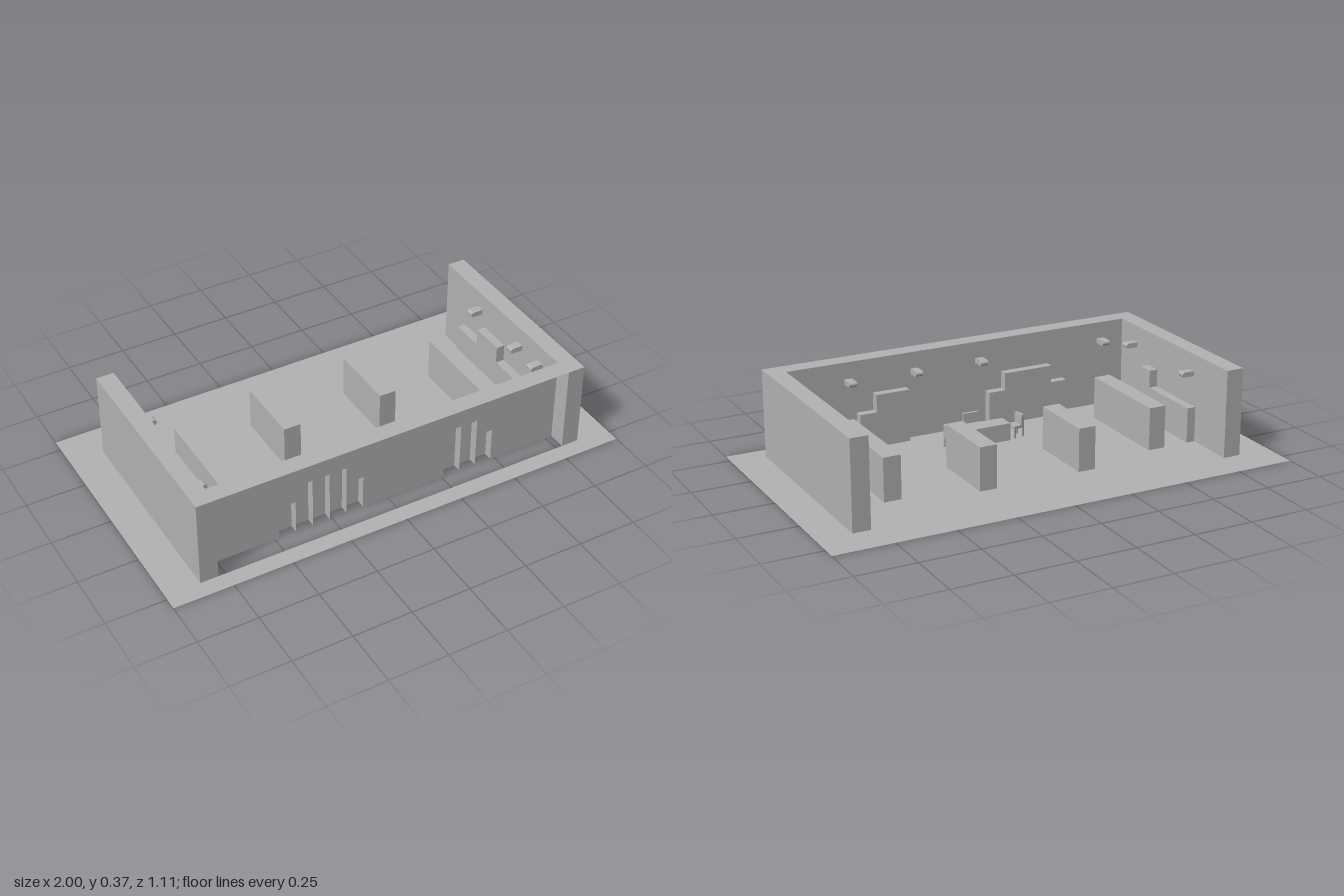
import * as THREE from 'three';

const U = 0.0742;            // grid cell
const H = 0.372;             // wall height
const T = 0.075;             // wall thickness
const LOW = 0.15, TALL = 0.225, ISLAND = 0.183, SHELF_DEPTH = 0.037;
const FACES = ['px', 'nx', 'py', 'ny', 'pz', 'nz'];

export function createModel() {
  const grey = new THREE.MeshStandardMaterial({ color: 0xb2b2b2, side: THREE.DoubleSide });
  grey.name = 'plaster grey';
  const model = new THREE.Group();
  model.name = 'storeInterior';

  const add = (parent, name, geometry, x = 0, y = 0, z = 0) => {
    const mesh = new THREE.Mesh(geometry, grey);
    mesh.name = name;
    mesh.position.set(x, y, z);
    parent.add(mesh);
    return mesh;
  };
  const group = (parent, name, x, y, z, turn = 0) => {
    const g = new THREE.Group();
    g.name = name;
    g.position.set(x, y, z);
    g.rotation.y = turn;
    parent.add(g);
    return g;
  };
  // box that keeps only the listed faces
  const openBox = (w, h, d, keep) => {
    const g = new THREE.BoxGeometry(w, h, d);
    const all = Array.from(g.index.array);
    g.setIndex(FACES.flatMap((f, i) => (keep.includes(f) ? all.slice(i * 6, i * 6 + 6) : [])));
    g.clearGroups();
    return g;
  };

  // row of hollow cells, back at z = 0, with a divider between cells
  const cellRow = (parent, name, heights, depth, faces) => {
    const n = heights.length;
    heights.forEach((h, i) =>
      add(parent, name + 'Cell', openBox(U, h, depth, faces), (i + 0.5 - n / 2) * U, h / 2, depth / 2));
    for (let i = 0; i <= n; i++) {
      const h = Math.max(heights[i - 1] || 0, heights[i] || 0);
      add(parent, name + 'Divider', new THREE.PlaneGeometry(depth, h), (i - n / 2) * U, h / 2, depth / 2)
        .rotation.y = Math.PI / 2;
    }
  };

  // wall lamp: short block with a rounded nose
  const nose = new THREE.Shape();
  nose.moveTo(0, -0.011);
  nose.lineTo(0.044, -0.011);
  nose.absarc(0.044, 0, 0.011, -Math.PI / 2, Math.PI / 2);
  nose.lineTo(0, 0.011);
  const lampGeometry = new THREE.ExtrudeGeometry(nose, { depth: 0.034, bevelEnabled: false, curveSegments: 5 });
  lampGeometry.translate(0, 0, -0.017).rotateY(-Math.PI / 2);

  // wall facing local +z, open behind each stepped shelf
  const wall = (name, frame, a, b, faces, shelves, lamps) => {
    const g = group(model, name, ...frame);
    const outline = new THREE.Shape();
    outline.moveTo(a, H);
    outline.lineTo(a, 0);
    for (const { at, heights } of shelves) {
      const x0 = at - heights.length * U / 2;
      outline.lineTo(x0, 0);
      heights.forEach((h, i) => {
        outline.lineTo(x0 + i * U, h);
        outline.lineTo(x0 + (i + 1) * U, h);
      });
      outline.lineTo(x0 + heights.length * U, 0);
      cellRow(group(g, 'wallShelf', at, 0, 0), 'shelf', heights, SHELF_DEPTH, ['py', 'pz']);
    }
    outline.lineTo(b, 0);
    outline.lineTo(b, H);
    add(g, name + 'Inside', new THREE.ShapeGeometry(outline));
    add(g, name + 'Shell', openBox(b - a, H, T, faces), (a + b) / 2, H / 2, -T / 2);
    for (const x of lamps) add(g, 'wallLamp', lampGeometry, x, 0.29, 0);
  };

  wall('frontWall', [0, 0, 0.405, Math.PI], -0.78, 0.78, ['py'],
    [{ at: -0.37, heights: [LOW, TALL, TALL] },
      { at: 0.297, heights: [LOW, TALL, TALL, TALL, LOW] }],
    [-0.515, -0.22, 0.08, 0.67]);
  wall('rightWall', [-0.78, 0, 0, Math.PI / 2], -0.48, 0.405, ['py', 'px', 'nx', 'nz'],
    [{ at: 0, heights: [TALL, LOW, LOW, LOW, LOW] }], [-0.29, 0.15]);
  wall('leftWall', [0.78, 0, 0, -Math.PI / 2], -0.405, 0.48, ['py', 'px', 'nx', 'nz'],
    [{ at: -0.037, heights: [LOW, LOW, TALL, TALL, LOW, LOW] }], [-0.15, 0.145, 0.29]);

  // free-standing shelf islands
  const islands = [];
  for (const s of [-1, 1]) {
    for (const [x, z, n] of [[0.594, 0.033, 6], [0.22, -0.115, 4]]) {
      const g = group(model, 'shelfIsland', s * x - U / 2, 0, z, Math.PI / 2);
      cellRow(g, 'island', Array(n).fill(ISLAND), U, ['py', 'pz', 'nz']);
      islands.push([s * x, z, U, n * U]);
    }
  }

  // service counter
  add(model, 'counter', openBox(3 * U, 0.075, U, ['px', 'nx', 'py', 'pz', 'nz']), 0, 0.0375, 0.218);
  islands.push([0, 0.218, 3 * U, U]);

  // chairs: one behind the counter, one turned at each end
  const chair = (x, z, turn, size) => {
    const g = group(model, 'chair', x, 0, z, turn);
    add(g, 'chairSeat', new THREE.BoxGeometry(size, 0.012, size), 0, 0.046, 0);
    add(g, 'chairBack', new THREE.BoxGeometry(size, 0.05, 0.012), 0, 0.072, size / 2 - 0.006);
    for (const sx of [-1, 1]) for (const sz of [-1, 1])
      add(g, 'chairLeg', new THREE.BoxGeometry(0.008, 0.04, 0.008), sx * (size / 2 - 0.004), 0.02, sz * (size / 2 - 0.004));
  };
  chair(0, 0.293, 0, 0.073);
  chair(-0.155, 0.217, -1.4, 0.05);
  chair(0.145, 0.217, 1.4, 0.05);

  // floor sheet, cut away under walls, shelves and islands
  const floor = new THREE.Shape();
  const path = (target, points) => target.setFromPoints(points.map(([x, z]) => new THREE.Vector2(x, z)));
  path(floor, [[-1, -0.555], [1, -0.555], [1, 0.552], [-1, 0.552]]);
  floor.holes.push(path(new THREE.Path(), [
    [-0.855, -0.405], [-0.855, 0.48], [0.855, 0.48], [0.855, -0.405], [0.78, -0.405],
    [0.78, -0.26], [0.743, -0.26], [0.743, 0.186], [0.78, 0.186], [0.78, 0.405],
    [0.481, 0.405], [0.481, 0.368], [0.259, 0.368], [0.259, 0.405],
    [-0.111, 0.405], [-0.111, 0.368], [-0.482, 0.368], [-0.482, 0.405], [-0.78, 0.405],
    [-0.78, 0.186], [-0.743, 0.186], [-0.743, -0.186], [-0.78, -0.186], [-0.78, -0.405]]));
  for (const [x, z, w, d] of islands) {
    floor.holes.push(path(new THREE.Path(), [
      [x - w / 2, z - d / 2], [x - w / 2, z + d / 2], [x + w / 2, z + d / 2], [x + w / 2, z - d / 2]]));
  }
  add(model, 'floor', new THREE.ShapeGeometry(floor).rotateX(Math.PI / 2));

  return model;
}
